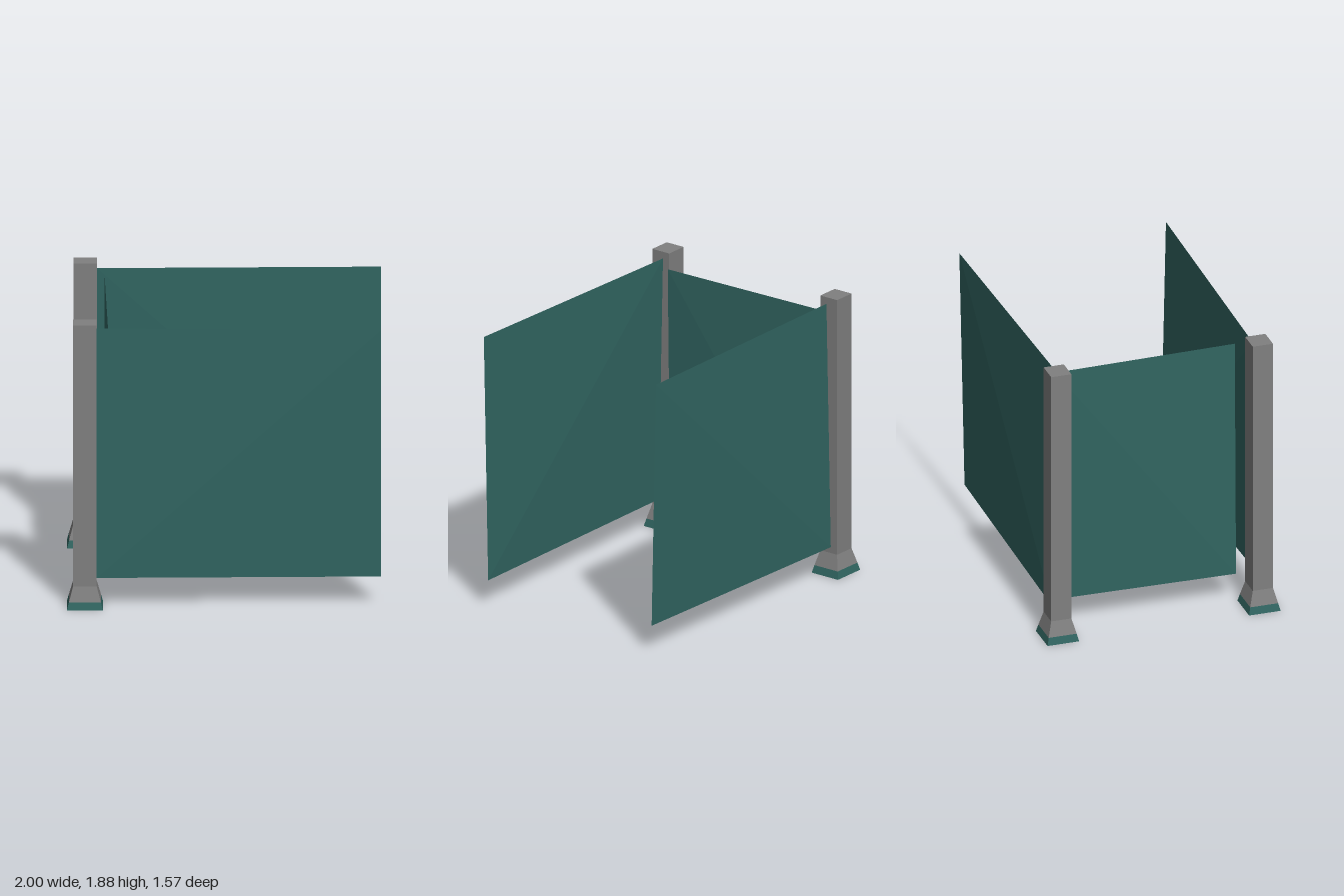
import * as THREE from 'three';

export function createModel() {
  const model = new THREE.Group();
  const stone = new THREE.MeshStandardMaterial({ color: 0x808080, flatShading: true });
  stone.name = 'grey stone';
  const teal = new THREE.MeshStandardMaterial({ color: 0x316561, flatShading: true });
  teal.name = 'teal';

  // Square tapered block from y0 to y1; half widths are [x, z]
  function block(name, material, y0, y1, bottom, top) {
    const g = new THREE.BoxGeometry(2, y1 - y0, 2).translate(0, (y0 + y1) / 2, 0);
    const p = g.attributes.position;
    for (let i = 0; i < p.count; i++) {
      const half = p.getY(i) > (y0 + y1) / 2 ? top : bottom;
      p.setX(i, p.getX(i) * half[0]);
      p.setZ(i, p.getZ(i) * half[1]);
    }
    g.computeVertexNormals();
    const mesh = new THREE.Mesh(g, material);
    mesh.name = name;
    return mesh;
  }

  // Slightly twisted thin panel: the outer diagonal and the inner diagonal
  // lie at different depths. It spans u0..u1 wide and y0..y1 high, facing +z.
  function panel(name, u0, u1, y0, y1, inner, outer) {
    const tl = [u0, y1, inner], bl = [u0, y0, outer];
    const tr = [u1, y1, outer], br = [u1, y0, inner];
    const faces = [tl, bl, tr, bl, br, tr, tl, tr, br, tl, br, bl];
    const g = new THREE.BufferGeometry();
    g.setAttribute('position', new THREE.Float32BufferAttribute(faces.flat(), 3));
    g.computeVertexNormals();
    const mesh = new THREE.Mesh(g, teal);
    mesh.name = name;
    return mesh;
  }

  // Two posts with flared feet
  for (const side of [1, -1]) {
    const post = new THREE.Group();
    post.name = side > 0 ? 'frontPost' : 'backPost';
    post.add(
      block('footBand', teal, 0, 0.05, [0.115, 0.106], [0.102, 0.094]),
      block('flaredFoot', stone, 0.05, 0.15, [0.102, 0.094], [0.075, 0.068]),
      block('shaft', stone, 0.15, 1.885, [0.075, 0.068], [0.075, 0.068])
    );
    post.position.set(-0.885, 0, 0.678 * side);
    model.add(post);
  }

  // Long front panel, and its mirror at the back
  model.add(panel('frontPanel', -0.81, 1, 0.19, 1.84, 0.66, 0.695));
  const back = panel('backPanel', -0.81, 1, 0.19, 1.84, 0.66, 0.695);
  back.scale.z = -1;
  model.add(back);

  // Cross panel between the posts, turned to face -x
  const cross = panel('crossPanel', -0.65, 0.565, 0.187, 1.81, -0.012, 0.012);
  cross.geometry.scale(-1, 1, -1); // half turn keeps the twist direction
  cross.geometry.rotateY(Math.PI / 2);
  cross.position.x = -0.75;
  // Top edge leans outwards at the back and inwards at the front
  const p = cross.geometry.attributes.position;
  for (let i = 0; i < p.count; i++) {
    const isTop = p.getY(i) > 1, isFront = p.getZ(i) > 0;
    p.setX(i, isTop === isFront ? 0.012 : -0.012);
  }
  cross.geometry.computeVertexNormals();
  cross.material = teal.clone();
  cross.material.side = THREE.DoubleSide;
  model.add(cross);

  return model;
}
